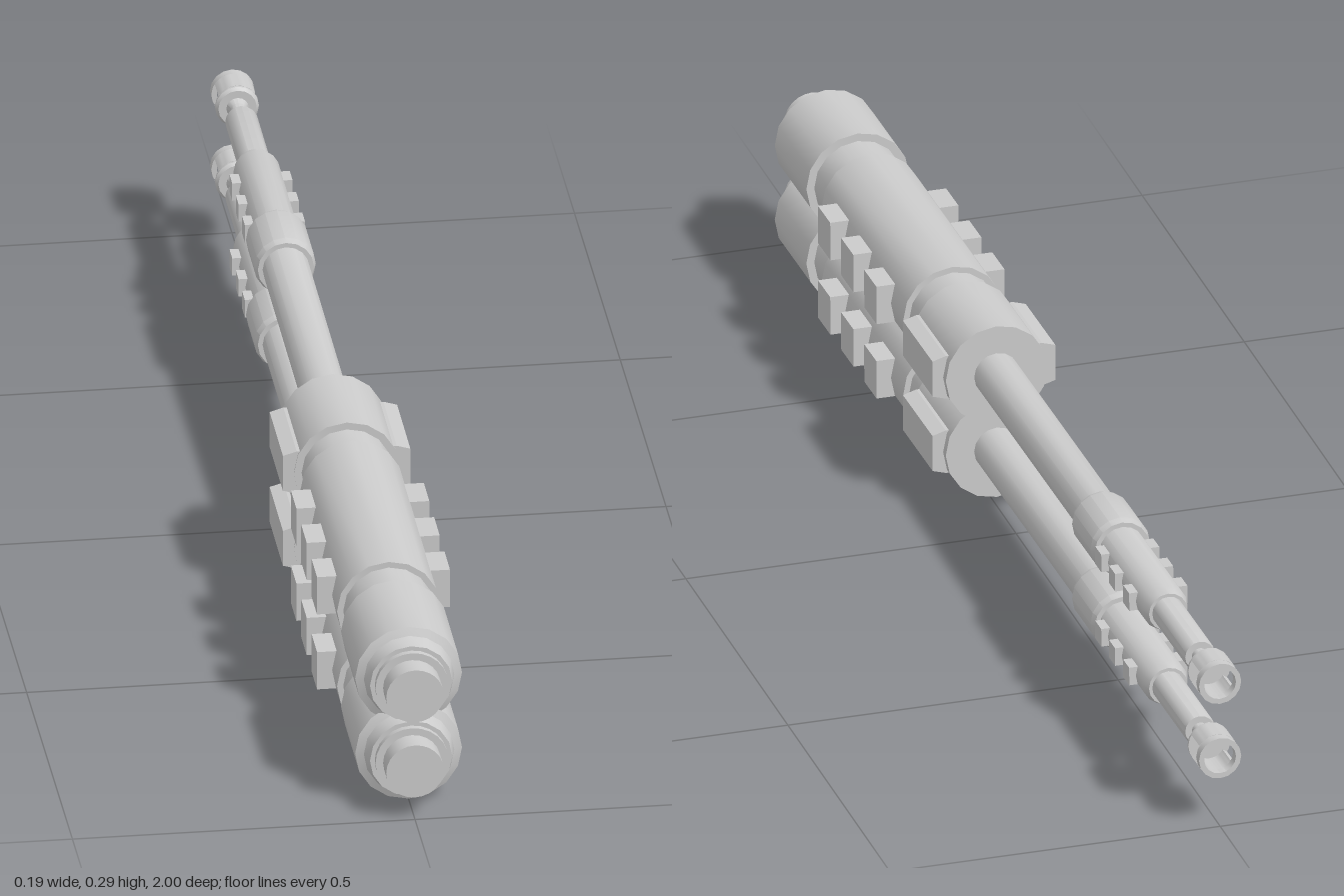
import * as THREE from 'three';
import { toCreasedNormals } from 'three/addons/utils/BufferGeometryUtils.js';

const material = new THREE.MeshStandardMaterial({ color: 0xcccccc });

function add(parent, name, geometry) {
  const mesh = new THREE.Mesh(geometry, material);
  mesh.name = name;
  parent.add(mesh);
  return mesh;
}

// Turned part along z; profile is [radius, z] from rear to front
function turned(parent, name, profile, sides = 16) {
  const points = profile.map(([r, z]) => new THREE.Vector2(r, z));
  const geometry = new THREE.LatheGeometry(points, sides).rotateX(Math.PI / 2);
  return add(parent, name, toCreasedNormals(geometry, 0.5));
}

// Matching blocks on the left and right flanks
function sideBlocks(parent, name, positions, inner, outer, height, length) {
  for (const z of positions) {
    for (const side of [-1, 1]) {
      const block = add(parent, name, new THREE.BoxGeometry(outer - inner, height, length));
      block.position.set(side * (inner + outer) / 2, 0, z);
    }
  }
}

function createMuzzle() {
  const muzzle = new THREE.Group();
  muzzle.name = 'muzzle';
  const outer = 0.032, inner = 0.024;
  turned(muzzle, 'muzzleBase', [[0, -0.947], [outer, -0.947], [outer, -0.943], [0.028, -0.938], [0, -0.938]]);
  turned(muzzle, 'muzzleRim', [[inner, -0.986], [inner, -1], [outer, -1], [outer, -0.986], [inner, -0.986]]);
  // Upper and lower walls leave a window on each side
  const gap = 0.57;
  for (const start of [gap, Math.PI + gap]) {
    const end = start + Math.PI - 2 * gap;
    const shape = new THREE.Shape();
    shape.absarc(0, 0, outer, start, end, false);
    shape.absarc(0, 0, inner, end, start, true);
    const wall = new THREE.ExtrudeGeometry(shape, { depth: 0.039, bevelEnabled: false, curveSegments: 6 });
    add(muzzle, 'muzzleWall', toCreasedNormals(wall.translate(0, 0, -0.986), 0.5));
  }
  return muzzle;
}

function createCannon() {
  const cannon = new THREE.Group();

  // Thick housing with recessed necks between its sections
  turned(cannon, 'housing', [
    [0, 0.095], [0.077, 0.095], [0.077, 0.255], [0.066, 0.255],
    [0.066, 0.31], [0.075, 0.31], [0.075, 0.71], [0.066, 0.71],
    [0.066, 0.775], [0.078, 0.775], [0.078, 0.93], [0.066, 0.935],
    [0.06, 0.957], [0, 0.957],
  ]);
  turned(cannon, 'endPlug', [
    [0, 0.95], [0.053, 0.95], [0.053, 0.966], [0.042, 0.966], [0.042, 1], [0, 1],
  ], 24);
  sideBlocks(cannon, 'housingBlock', [0.4, 0.513, 0.626], 0.055, 0.097, 0.06, 0.06);

  // Collar lugs with flared roots
  for (const side of [-1, 1]) {
    const shape = new THREE.Shape([
      [0.055, -0.034], [0.073, -0.034], [0.093, -0.028],
      [0.093, 0.028], [0.073, 0.034], [0.055, 0.034],
    ].map(([x, y]) => new THREE.Vector2(side * x, y)));
    const lug = new THREE.ExtrudeGeometry(shape, { depth: 0.145, bevelEnabled: false });
    add(cannon, 'collarLug', lug.translate(0, 0, 0.108));
  }

  // Long stepped barrel
  turned(cannon, 'barrel', [
    [0, -0.9], [0.022, -0.9], [0.024, -0.894], [0.024, -0.745],
    [0.029, -0.745], [0.034, -0.73], [0.034, -0.52], [0.041, -0.52],
    [0.045, -0.51], [0.045, -0.42], [0.041, -0.41], [0.034, -0.41],
    [0.034, 0.12], [0, 0.12],
  ]);
  sideBlocks(cannon, 'barrelBlock', [-0.545, -0.613, -0.682], 0.025, 0.044, 0.028, 0.03);
  turned(cannon, 'muzzleStem', [
    [0, -0.943], [0.019, -0.943], [0.012, -0.93], [0.012, -0.89], [0, -0.89],
  ]);
  cannon.add(createMuzzle());
  return cannon;
}

export function createModel() {
  const model = new THREE.Group();
  model.name = 'twinCannon';
  // Two stacked cannons, both tilted slightly up toward the muzzle
  for (const [name, y] of [['lowerCannon', 0.095], ['upperCannon', 0.215]]) {
    const cannon = createCannon();
    cannon.name = name;
    cannon.position.y = y;
    cannon.rotation.x = 0.0165;
    model.add(cannon);
  }
  return model;
}
